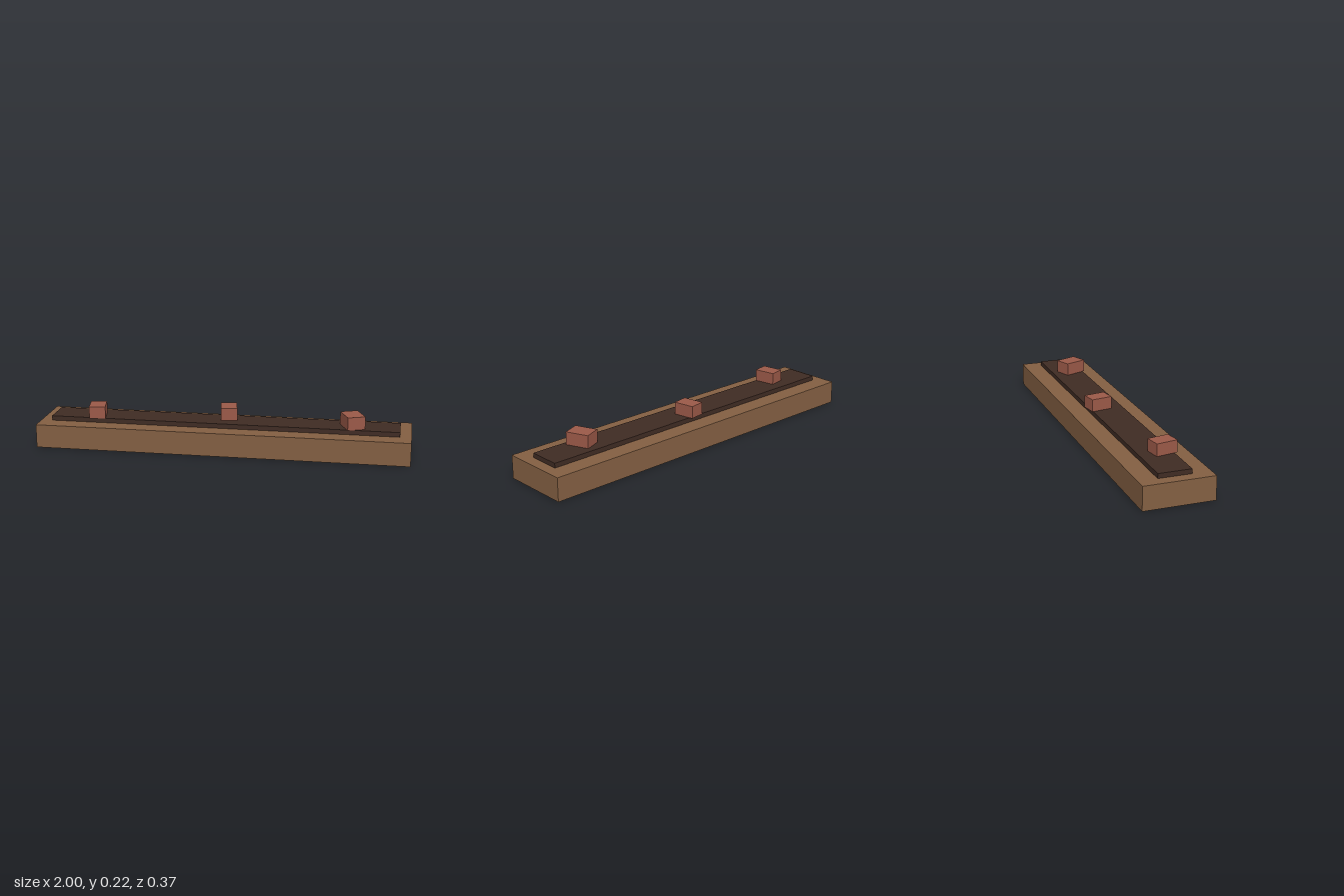
import * as THREE from 'three';

// Box without its underside, standing on y = 0
function openBox(w, h, d) {
  const geo = new THREE.BoxGeometry(w, h, d).translate(0, h / 2, 0);
  const index = Array.from(geo.index.array);
  index.splice(18, 6); // the fourth side of the box is its bottom
  geo.setIndex(index);
  geo.clearGroups();
  return geo;
}

function material(name, color) {
  const m = new THREE.MeshStandardMaterial({ color, side: THREE.DoubleSide });
  m.name = name;
  return m;
}

export function createModel() {
  const group = new THREE.Group();
  group.name = 'planterBox';
  const wood = material('wood brown', 0x835f42);
  const soil = material('dark soil', 0x3f2b23);
  const clay = material('clay red', 0x9b5948);

  const add = (name, geo, mat, x, y, z, turn = 0) => {
    const mesh = new THREE.Mesh(geo, mat);
    mesh.name = name;
    mesh.position.set(x, y, z);
    mesh.rotation.y = turn;
    group.add(mesh);
  };

  // Hollow wooden trough and the raised bed on it
  add('trough', openBox(2, 0.126, 0.374), wood, 0, 0, 0);
  add('bed', openBox(1.88, 0.025, 0.175), soil, 0, 0.126, 0);

  // Loose blocks: x, z, width, height, depth, turn
  const blocks = [
    [-0.692, 0.038, 0.087, 0.065, 0.117, 0.175],
    [0.018, -0.042, 0.087, 0.067, 0.117, 0.175],
    [0.689, 0.022, 0.096, 0.069, 0.126, 0.39],
  ];
  blocks.forEach(([x, z, w, h, d, turn], i) =>
    add('block' + (i + 1), openBox(w, h, d), clay, x, 0.151, z, turn));

  return group;
}
